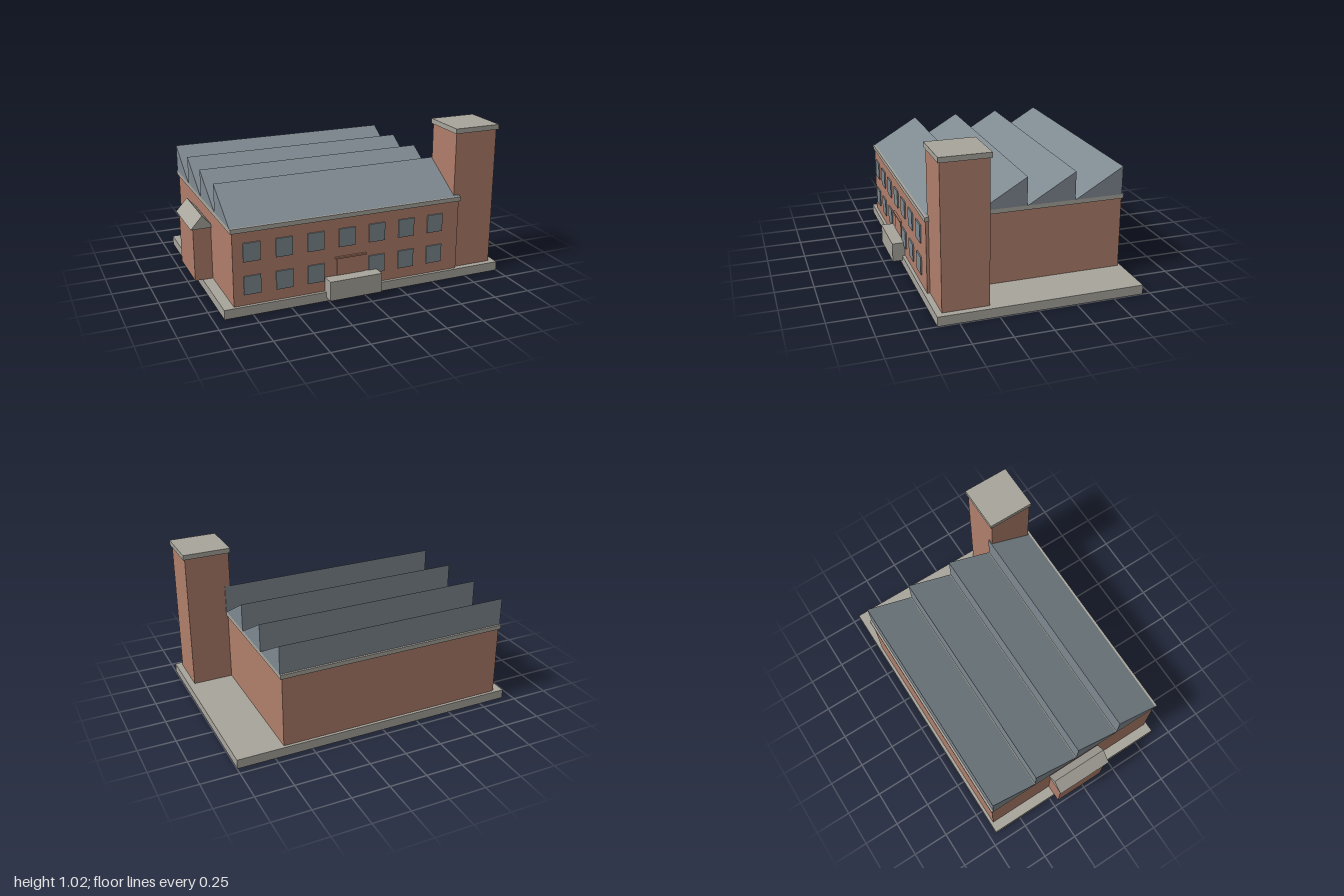
import * as THREE from 'three';

export function createModel() {
  const model = new THREE.Group();
  model.name = 'factory';

  const mat = (name, color) => {
    const m = new THREE.MeshStandardMaterial({ color });
    m.name = name;
    return m;
  };
  const brick = mat('brick', 0xb07e6b);
  const concrete = mat('concrete', 0xa8a59c);
  const slate = mat('slate blue', 0x7e8990);

  const add = (name, geometry, material, parent = model) => {
    const mesh = new THREE.Mesh(geometry, material);
    mesh.name = name;
    parent.add(mesh);
    return mesh;
  };

  // Box given by its extents on each axis
  const box = (name, material, [x0, x1], [y0, y1], [z0, z1], parent) => {
    const g = new THREE.BoxGeometry(x1 - x0, y1 - y0, z1 - z0);
    g.translate((x0 + x1) / 2, (y0 + y1) / 2, (z0 + z1) / 2);
    return add(name, g, material, parent);
  };

  // Triangular prism extruded along +z
  const prism = (points, depth) => new THREE.ExtrudeGeometry(
    new THREE.Shape(points.map(([x, y]) => new THREE.Vector2(x, y))),
    { depth, bevelEnabled: false });

  // Ground slab, main hall and cornice
  box('groundSlab', concrete, [-0.933, 0.998], [0, 0.062], [-0.7, 0.635]);
  box('mainHall', brick, [-0.865, 0.685], [0.062, 0.54], [-0.68, 0.614]);
  box('cornice', concrete, [-0.876, 0.696], [0.538, 0.567], [-0.69, 0.622]);

  // Sawtooth roof: each ridge slopes up toward the back, then drops straight
  const roof = new THREE.Group();
  roof.name = 'sawtoothRoof';
  model.add(roof);
  const pitch = 0.322;
  for (let i = 0; i < 4; i++) {
    const g = prism([[0, 0], [pitch - 0.005, 0], [pitch - 0.005, 0.187]], 1.572);
    g.rotateY(Math.PI / 2); // profile x becomes -z, depth becomes +x
    g.translate(-0.876, 0.567, 0.607 - i * pitch);
    add('roofTooth' + (i + 1), g, slate, roof);
  }

  // Corner tower with cap
  box('tower', brick, [0.657, 0.956], [0.062, 0.992], [0.297, 0.596]);
  box('towerCap', concrete, [0.648, 0.968], [0.991, 1.024], [0.286, 0.606]);

  // Two rows of front windows; the doorway takes the place of one below
  const windows = new THREE.Group();
  windows.name = 'windows';
  model.add(windows);
  [0.133, 0.348].forEach((y, row) => {
    for (let i = 0; i < 7; i++) {
      if (row === 0 && i === 3) continue;
      const x = -0.8 + i * 0.209;
      box('window', slate, [x, x + 0.11], [y, y + 0.121], [0.613, 0.6225], windows);
    }
  });

  // Doorway, lintel and loading dock
  box('door', brick, [-0.183, 0.004], [0.062, 0.272], [0.613, 0.6195]);
  box('doorLintel', brick, [-0.197, 0.016], [0.271, 0.282], [0.613, 0.627]);
  box('loadingDock', concrete, [-0.266, 0.091], [0.028, 0.157], [0.616, 0.7]);

  // Side annex with gabled roof
  box('annex', brick, [-0.983, -0.864], [0.062, 0.425], [-0.215, 0.145]);
  const gable = prism([[-1, 0.421], [-0.846, 0.421], [-0.923, 0.507]], 0.39);
  gable.translate(0, 0, -0.23);
  add('annexRoof', gable, concrete);

  return model;
}
